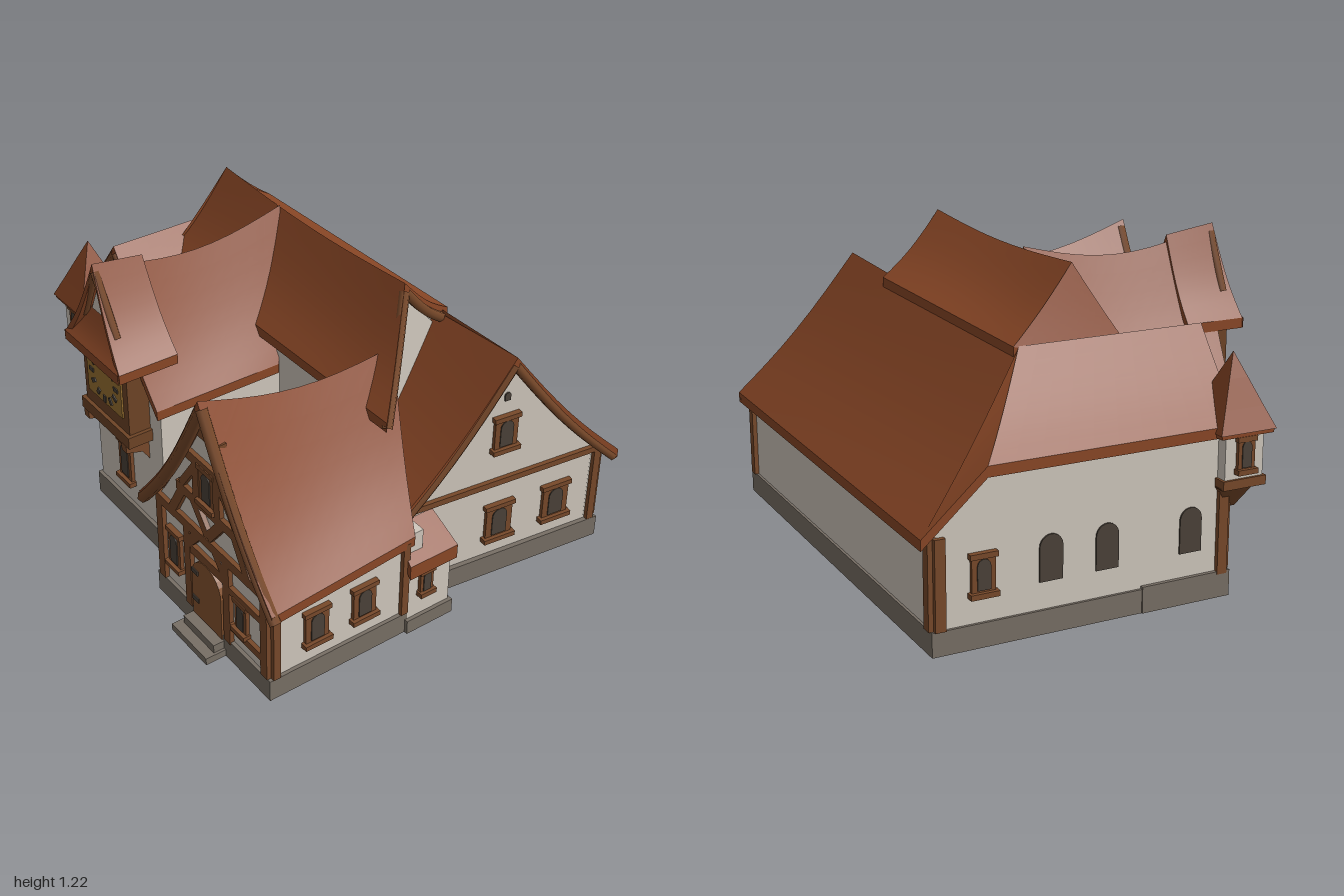
import * as THREE from 'three';

const mat = (name, color) => new THREE.MeshStandardMaterial({ name, color });

export function createModel() {
  const model = new THREE.Group();
  model.name = 'timberedHouse';
  const roof = mat('roof tile', 0x8a4726), wall = mat('plaster', 0xd0c8bd), stone = mat('stone', 0x786f65);
  const timber = mat('timber', 0x78492a), wood = mat('door wood', 0x875430), dark = mat('window dark', 0x4b4239);
  const gold = mat('clock gold', 0x9a7132), box = mat('clock case', 0x6e4426);
  wall.side = THREE.DoubleSide;

  const add = (name, geo, m, parent = model) => {
    const mesh = new THREE.Mesh(geo, m);
    mesh.name = name;
    parent.add(mesh);
    return mesh;
  };
  const block = (name, m, x0, x1, y0, y1, z0, z1, parent) => {
    const mesh = add(name, new THREE.BoxGeometry(x1 - x0, y1 - y0, z1 - z0), m, parent);
    mesh.position.set((x0 + x1) / 2, (y0 + y1) / 2, (z0 + z1) / 2);
    return mesh;
  };
  const shapeOf = pts => new THREE.Shape(pts.map(p => new THREE.Vector2(p[0], p[1])));
  const extrude = (shape, depth) => new THREE.ExtrudeGeometry(shape, { depth, bevelEnabled: false, curveSegments: 6 });
  // Upright prism over a footprint of [x, z] corners
  const prism = (name, m, foot, y0, y1) =>
    add(name, extrude(shapeOf(foot.map(([x, z]) => [x, -z])), y1 - y0).rotateX(-Math.PI / 2).translate(0, y0, 0), m);
  // Gable outline with hollow-curved slopes
  const gableShape = (c, hw, base, eave, top, sag) => {
    const pts = [[c - hw, base]];
    for (let i = -6; i <= 6; i++) {
      const v = Math.abs(i) / 6;
      pts.push([c + hw * i / 6, top + (eave - top) * v - sag * Math.sin(Math.PI * v)]);
    }
    pts.push([c + hw, base]);
    return shapeOf(pts);
  };
  // Curved roof slab from a top edge a0-a1 to an eave b0-b1
  const slope = (name, a0, a1, b0, b1, sag = 0.03, ridgeSag = 0, t = 0.04) => {
    const V = p => new THREE.Vector3(...p);
    let [A0, A1, B0, B1] = [a0, a1, b0, b1].map(V);
    const u = B1.clone().sub(B0), down = B0.clone().add(B1).sub(A0).sub(A1);
    if (u.dot(new THREE.Vector3(0, 1, 0).cross(down)) < 0) [A0, A1, B0, B1] = [A1, A0, B1, B0];
    const geo = new THREE.BoxGeometry(1, 1, 1, 10, 1, 8), pos = geo.attributes.position;
    for (let i = 0; i < pos.count; i++) {
      const s = pos.getX(i) + 0.5, v = pos.getZ(i) + 0.5, h = pos.getY(i) - 0.5;
      const p = A0.clone().lerp(A1, s).lerp(B0.clone().lerp(B1, s), v);
      p.y += h * t - sag * Math.sin(Math.PI * v) - ridgeSag * Math.sin(Math.PI * s) * (1 - v);
      pos.setXYZ(i, p.x, p.y, p.z);
    }
    geo.computeVertexNormals();
    return add(name, geo, roof);
  };
  // Board following a roof edge
  const verge = (a, b, sag = 0.03, m = timber, r = 0.02) => {
    const pts = [];
    for (let i = 0; i <= 6; i++) {
      const p = new THREE.Vector3(...a).lerp(new THREE.Vector3(...b), i / 6);
      p.y -= 0.035 + sag * Math.sin(Math.PI * i / 6);
      pts.push(p);
    }
    add('vergeBoard', new THREE.TubeGeometry(new THREE.CatmullRomCurve3(pts), 10, r, 6), m);
  };
  // Local plane on a wall, x to the viewer's right and z outwards
  const face = (name, x, z, turn) => {
    const g = new THREE.Group();
    g.name = name;
    g.position.set(x, 0, z);
    g.rotation.y = turn;
    model.add(g);
    return g;
  };
  const beam = (g, x0, y0, x1, y1, w = 0.04) => {
    const b = add('beam', new THREE.BoxGeometry(Math.hypot(x1 - x0, y1 - y0), w, 0.03), timber, g);
    b.position.set((x0 + x1) / 2, (y0 + y1) / 2, 0.003);
    b.rotation.z = Math.atan2(y1 - y0, x1 - x0);
  };
  const arch = (w, h) => {
    const s = new THREE.Shape();
    s.moveTo(-w / 2, -h / 2);
    s.lineTo(w / 2, -h / 2);
    s.lineTo(w / 2, h / 2 - w / 2);
    s.absarc(0, h / 2 - w / 2, w / 2, 0, Math.PI);
    return s;
  };
  const windowAt = (g, x, y, w = 0.1, h = 0.15, framed = true) => {
    if (framed) {
      block('windowFrame', timber, x - w / 2, x + w / 2, y - h / 2, y + h / 2, -0.01, 0.015, g);
      block('windowSill', timber, x - w * 0.6, x + w * 0.6, y - h / 2 - 0.01, y - h / 2 + 0.01, -0.01, 0.03, g);
      block('windowLintel', timber, x - w * 0.58, x + w * 0.58, y + h / 2 - 0.02, y + h / 2, -0.01, 0.022, g);
    }
    const k = framed ? 0.56 : 1;
    add('windowPane', extrude(arch(w * k, h * (framed ? 0.74 : 1)), 0.006), dark, g).position.set(x, y - 0.003, framed ? 0.013 : 0);
  };

  // Stone plinth
  const hallFoot = [[-0.93, -0.81], [0.94, -0.81], [0.82, 0.11], [-0.93, 0.11]];
  prism('hallPlinth', stone, hallFoot, 0, 0.09);
  block('leftWingPlinth', stone, -0.935, -0.44, 0, 0.1, 0, 0.365);
  block('centreWingPlinth', stone, -0.45, 0.06, 0, 0.1, 0, 0.645);
  block('rightWingPlinth', stone, 0.205, 0.94, 0, 0.09, 0.09, 0.765);
  block('bayPlinth', stone, 0.75, 0.955, 0, 0.06, -0.055, 0.16);
  block('lowerStep', stone, 0.43, 0.66, 0, 0.03, 0.75, 0.85);
  block('upperStep', stone, 0.45, 0.65, 0.03, 0.065, 0.75, 0.81);

  // Back hall, with its right end set askew
  const hall = extrude(gableShape(0.35, 0.45, 0.05, 0.43, 0.94, 0.03), 1.52).rotateY(Math.PI / 2).translate(-0.6, 0, 0);
  const hp = hall.attributes.position;
  for (let i = 0; i < hp.count; i++) if (hp.getX(i) > 0) hp.setX(i, hp.getX(i) - 0.133 * (hp.getZ(i) + 0.8));
  hall.computeVertexNormals();
  add('hallWalls', hall, wall);
  slope('hallBackRoof', [-0.68, 0.95, -0.36], [0.9, 1.0, -0.34], [-0.94, 0.43, -0.85], [0.98, 0.43, -0.84]);
  slope('hallFrontRoof', [0.45, 0.97, -0.34], [0.9, 1.0, -0.34], [0.45, 0.44, 0.12], [0.84, 0.44, 0.12]);
  verge([0.89, 1.0, -0.34], [0.965, 0.43, -0.83]);
  verge([0.89, 1.0, -0.34], [0.83, 0.44, 0.11]);

  // Left wing
  add('leftWingWalls', extrude(shapeOf([[-0.35, 0.05], [0.8, 0.05], [0.8, 0.42], [0.6, 0.61], [-0.35, 0.61]]), 0.48)
    .rotateY(Math.PI / 2).translate(-0.92, 0, 0), wall);
  add('leftWingGable', extrude(gableShape(-0.68, 0.24, 0.6, 0.63, 0.92, 0.015), 0.06).translate(0, 0, 0.29), wall);
  slope('leftWingOuterRoof', [-0.68, 0.96, -0.36], [-0.68, 0.96, 0.38], [-0.95, 0.65, -0.61], [-0.95, 0.65, 0.38], 0.015);
  slope('leftWingInnerRoof', [-0.68, 0.96, -0.36], [-0.68, 0.96, 0.38], [-0.44, 0.69, -0.3], [-0.44, 0.69, 0.38], 0.015);
  slope('leftWingHip', [-0.68, 0.955, -0.36], [-0.68, 0.955, -0.36], [-0.95, 0.65, -0.61], [-0.94, 0.43, -0.85], 0.02);
  for (const [x, y] of [[-0.95, 0.65], [-0.44, 0.69]]) verge([-0.68, 0.96, 0.37], [x, y, 0.37], 0.015);

  // Tall middle block and its askew gable
  prism('tallBlockWalls', wall, [[-0.46, -0.33], [0.46, -0.33], [0.52, -0.1], [0.7, 0.09], [-0.46, 0.09]], 0.05, 0.84);
  const tg = new THREE.BufferGeometry();
  tg.setAttribute('position', new THREE.Float32BufferAttribute([
    0.46, 0.8, -0.33, 0.46, 0.92, -0.33, 0.52, 1.17, -0.1, 0.52, 0.8, -0.1, 0.52, 0.8, -0.1, 0.52, 1.17, -0.1, 0.7, 0.85, 0.09, 0.7, 0.8, 0.09], 3));
  tg.setIndex([0, 1, 2, 0, 2, 3, 4, 5, 6, 4, 6, 7]);
  tg.computeVertexNormals();
  add('tallBlockGable', tg, wall);
  slope('tallFrontRoof', [-0.58, 1.21, -0.1], [0.55, 1.22, -0.1], [-0.68, 0.83, 0.14], [0.77, 0.84, 0.14], 0.03, 0.025);
  slope('tallBackRoof', [-0.58, 1.21, -0.1], [0.55, 1.22, -0.1], [-0.68, 0.96, -0.38], [0.47, 0.98, -0.38], 0.02, 0.025);
  slope('tallLeftHip', [-0.58, 1.21, -0.1], [-0.58, 1.21, -0.1], [-0.68, 0.96, -0.38], [-0.68, 0.83, 0.14], 0.01);
  verge([0.55, 1.22, -0.1], [0.76, 0.84, 0.13]);
  verge([0.55, 1.22, -0.1], [0.48, 0.98, -0.36], 0.02);

  // Centre wing
  block('centreWingWalls', wall, -0.44, 0.05, 0.05, 0.7, 0, 0.63);
  add('centreWingGable', extrude(gableShape(-0.2, 0.245, 0.6, 0.68, 1.1, 0.03), 0.04).translate(0, 0, 0.59), wall);
  for (const x of [-0.46, 0.06])
    slope('centreWingRoof', [-0.21, 1.2, 0.68], [-0.21, 1.2, -0.1], [x, 0.69, 0.65], [x, 0.69, 0.1], 0.03, 0.065);

  // Clock oriel with skirt roof
  block('clockCase', box, -0.35, -0.03, 0.53, 0.87, 0.6, 0.72);
  block('clockCaseSill', box, -0.365, -0.015, 0.51, 0.56, 0.6, 0.735);
  for (const x of [-0.38, 0.01]) {
    slope('clockSideRoof', [-0.21, 1.22, 0.73], [-0.21, 1.19, 0.52], [x, 0.87, 0.77], [x, 0.87, 0.52], 0.03);
    verge([-0.21, 1.22, 0.72], [x * 0.6 - 0.084, 1.0, 0.72], 0, timber, 0.018);
  }
  slope('clockSkirtRoof', [-0.29, 1.01, 0.7], [-0.12, 1.01, 0.7], [-0.38, 0.87, 0.775], [0.01, 0.87, 0.775], 0.015);
  add('clockGable', extrude(shapeOf([[-0.27, 1.0], [-0.14, 1.0], [-0.205, 1.14]]), 0.02).translate(0, 0, 0.69), wall);
  const clock = face('clock', -0.19, 0.72, 0);
  block('clockFace', gold, -0.125, 0.125, 0.62, 0.845, -0.005, 0.007, clock);
  for (let i = 0; i < 12; i++) {
    const a = i * Math.PI / 6;
    const tick = add('hourMark', new THREE.BoxGeometry(0.018, 0.03, 0.006), dark, clock);
    tick.position.set(Math.sin(a) * 0.088, 0.73 + Math.cos(a) * 0.088, 0.008);
    tick.rotation.z = -a;
  }
  for (const x of [-0.345, -0.065])
    add('clockBracket', extrude(shapeOf([[-0.62, 0.39], [-0.62, 0.52], [-0.73, 0.52], [-0.73, 0.47], [-0.66, 0.45]]), 0.035)
      .rotateY(Math.PI / 2).translate(x - 0.017, 0, 0), timber);

  // Right wing
  block('rightWingWalls', wall, 0.22, 0.925, 0.05, 0.44, 0.08, 0.75);
  add('rightWingGable', extrude(gableShape(0.575, 0.37, 0.4, 0.44, 1.05, 0.03), 0.03).translate(0, 0, 0.72), wall);
  for (const [x, xb] of [[0.14, 0.1], [0.99, 0.94]]) {
    slope('rightWingRoof', [0.585, 1.1, 0.8], [0.57, 0.99, -0.04], [x, 0.44, 0.79], [xb, 0.44, 0.13], 0.05, 0.06);
    verge([0.585, 1.1, 0.785], [x, 0.44, 0.775], 0.05, timber, 0.024);
  }
  const front = face('rightWingFrame', 0, 0.75, 0);
  for (const b of [
    [0.24, 0.09, 0.24, 0.45], [0.425, 0.08, 0.425, 0.46], [0.675, 0.08, 0.675, 0.46], [0.905, 0.09, 0.905, 0.45],
    [0.22, 0.46, 0.93, 0.46], [0.37, 0.61, 0.79, 0.61], [0.44, 0.79, 0.71, 0.79], [0.5, 0.93, 0.66, 0.93, 0.035],
    [0.5, 0.61, 0.5, 0.79], [0.63, 0.61, 0.63, 0.79], [0.565, 0.49, 0.47, 0.61], [0.565, 0.49, 0.66, 0.61],
    [0.33, 0.47, 0.41, 0.61], [0.81, 0.47, 0.73, 0.61], [0.43, 0.38, 0.5, 0.46], [0.67, 0.38, 0.6, 0.46],
    [0.4, 0.63, 0.5, 0.77, 0.03], [0.75, 0.63, 0.64, 0.77, 0.03], [0.69, 0.17, 0.9, 0.17, 0.03], [0.69, 0.34, 0.9, 0.34, 0.03],
    [0.45, 0.365, 0.66, 0.365]]) beam(front, ...b);
  windowAt(front, 0.33, 0.28, 0.08, 0.17);
  windowAt(front, 0.76, 0.26, 0.07, 0.14);
  windowAt(front, 0.565, 0.71, 0.09, 0.16);
  add('door', extrude(arch(0.19, 0.28), 0.02), wood, front).position.set(0.55, 0.21, 0);
  for (const y of [0.15, 0.28]) block('doorHinge', dark, 0.46, 0.5, y - 0.01, y + 0.01, 0.018, 0.025, front);

  // Corner oriel on the left wing
  block('orielWalls', wall, -0.965, -0.79, 0.43, 0.66, 0.31, 0.47);
  block('orielRim', timber, -0.975, -0.78, 0.42, 0.455, 0.3, 0.48);
  const corbel = add('orielCorbel', new THREE.CylinderGeometry(0.1, 0.03, 0.09, 4).rotateY(Math.PI / 4), timber);
  corbel.position.set(-0.89, 0.38, 0.37);
  const spire = [[0.165, 0], [0.115, 0.08], [0.055, 0.18], [0, 0.27]].map(p => new THREE.Vector2(...p));
  const cap = add('orielRoof', new THREE.LatheGeometry(spire, 4).toNonIndexed().rotateY(Math.PI / 4), roof);
  cap.geometry.computeVertexNormals();
  cap.position.set(-0.875, 0.63, 0.39);
  block('orielEave', roof, -0.985, -0.765, 0.615, 0.635, 0.28, 0.5);

  // Small bay on the right side
  block('bayWalls', wall, 0.76, 0.94, 0.05, 0.34, -0.045, 0.15);
  slope('bayRoof', [0.83, 0.42, -0.04], [0.83, 0.42, 0.14], [0.965, 0.33, -0.055], [0.965, 0.33, 0.165], 0, 0, 0.06);

  // Windows and posts on the other walls
  const left = face('leftWingFront', 0, 0.35, 0);
  windowAt(left, -0.75, 0.27, 0.1, 0.14);
  windowAt(left, -0.55, 0.28, 0.1, 0.15);
  windowAt(left, -0.685, 0.73, 0.085, 0.17);
  beam(left, -0.9, 0.1, -0.9, 0.4);
  windowAt(face('centreFront', 0, 0.63, 0), -0.22, 0.3, 0.09, 0.19);
  windowAt(face('orielFront', 0, 0.47, 0), -0.865, 0.55, 0.08, 0.13);
  windowAt(face('orielSide', -0.965, 0.39, -Math.PI / 2), 0, 0.55, 0.07, 0.13);
  windowAt(face('baySide', 0.94, 0.075, Math.PI / 2), 0, 0.22, 0.06, 0.11);
  const side = face('rightWingSide', 0.925, 0, Math.PI / 2);
  for (const z of [0.56, 0.35]) windowAt(side, -z, 0.25, 0.1, 0.15);
  for (const z of [0.735, 0.165]) beam(side, -z, 0.09, -z, 0.42, 0.03);
  const end = face('hallEnd', 0.92, -0.8, Math.PI / 2 - 0.132);
  for (const z of [-0.34, -0.6]) windowAt(end, -z - 0.8, 0.25, 0.115, 0.16);
  windowAt(end, -0.46, 0.66, 0.1, 0.15);
  windowAt(end, -0.46, 0.815, 0.025, 0.035, false);
  beam(end, -0.9, 0.435, 0.01, 0.435, 0.025);
  beam(end, -0.02, 0.09, -0.02, 0.43, 0.03);
  const west = face('leftWingSide', -0.92, 0, -Math.PI / 2);
  windowAt(west, -0.62, 0.27, 0.09, 0.15);
  for (const z of [-0.36, -0.14, 0.2]) windowAt(west, z, 0.28, 0.09, 0.17, false);
  for (const z of [-0.78, 0.33]) beam(west, z, 0.09, z, 0.42);
  const back = face('hallBack', 0, -0.8, Math.PI);
  for (const x of [-0.9, 0.9]) beam(back, x, 0.09, x, 0.43);
  block('hallBackWall', wall, -0.92, 0.915, 0.05, 0.43, -0.8, -0.76);
  return model;
}
